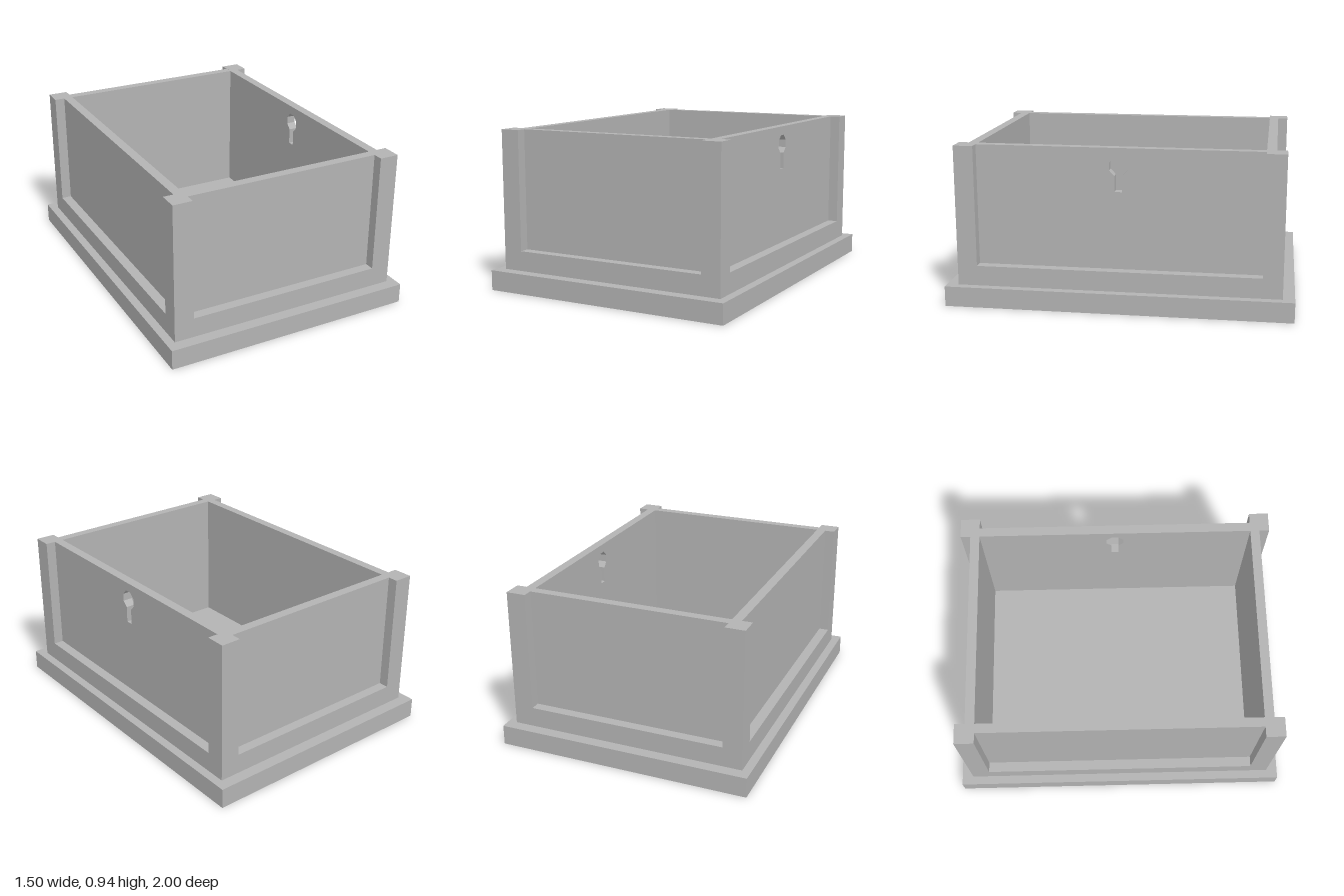
import * as THREE from 'three';

export function createModel() {
  const model = new THREE.Group();
  model.name = 'openBox';
  const grey = new THREE.MeshStandardMaterial({ color: 0xb3b3b3 });
  grey.name = 'plainGrey';

  // half sizes: inner cavity, recessed panels, outer frame
  const inX = 0.585, inZ = 0.818, panelX = 0.64, panelZ = 0.873, outX = 0.7, outZ = 0.932;
  const baseTop = 0.118, railTop = 0.235, top = 0.936;

  const add = (name, geometry) => {
    const mesh = new THREE.Mesh(geometry, grey);
    mesh.name = name;
    model.add(mesh);
    return mesh;
  };
  // box given by its minimum and maximum corners
  const box = (name, x0, x1, y0, y1, z0, z1) =>
    add(name, new THREE.BoxGeometry(x1 - x0, y1 - y0, z1 - z0))
      .position.set((x0 + x1) / 2, (y0 + y1) / 2, (z0 + z1) / 2);
  const rect = (Type, x, y0, y1) => new Type([
    [-x, y0], [x, y0], [x, y1], [-x, y1],
  ].map(([u, v]) => new THREE.Vector2(u, v)));

  // wide plinth that is also the floor of the box
  box('base', -0.75, 0.75, 0, baseTop, -1, 1);

  // bottom rail running around the cavity
  const ring = rect(THREE.Shape, outX, -outZ, outZ);
  ring.holes.push(rect(THREE.Path, inX, -inZ, inZ));
  const rail = new THREE.ExtrudeGeometry(ring, { depth: railTop - baseTop, bevelEnabled: false });
  rail.rotateX(-Math.PI / 2);
  add('bottomRail', rail).position.y = baseTop;

  // corner posts
  for (const sx of [-1, 1]) for (const sz of [-1, 1]) {
    const xs = [sx * inX, sx * outX].sort((a, b) => a - b);
    const zs = [sz * inZ, sz * outZ].sort((a, b) => a - b);
    box('cornerPost', ...xs, railTop, top, ...zs);
  }

  // recessed panels without openings
  box('frontPanel', -inX, inX, railTop, top, inZ, panelZ);
  box('backPanel', -inX, inX, railTop, top, -panelZ, -inZ);
  box('rightPanel', -panelX, -inX, railTop, top, -inZ, inZ);

  // panel with a keyhole cut right through: octagon over a slot
  const sheet = rect(THREE.Shape, inZ, railTop, top);
  const half = [[0.022, 0.685], [0.022, 0.777], [0.052, 0.808], [0.052, 0.852], [0.022, 0.884]];
  const outline = [...half, ...half.map(([u, v]) => [-u, v]).reverse()];
  sheet.holes.push(new THREE.Path(outline.map(([u, v]) => new THREE.Vector2(u, v))));
  const keyholePanel = new THREE.ExtrudeGeometry(sheet, { depth: panelX - inX, bevelEnabled: false });
  keyholePanel.rotateY(Math.PI / 2);
  add('leftKeyholePanel', keyholePanel).position.x = inX;

  return model;
}
